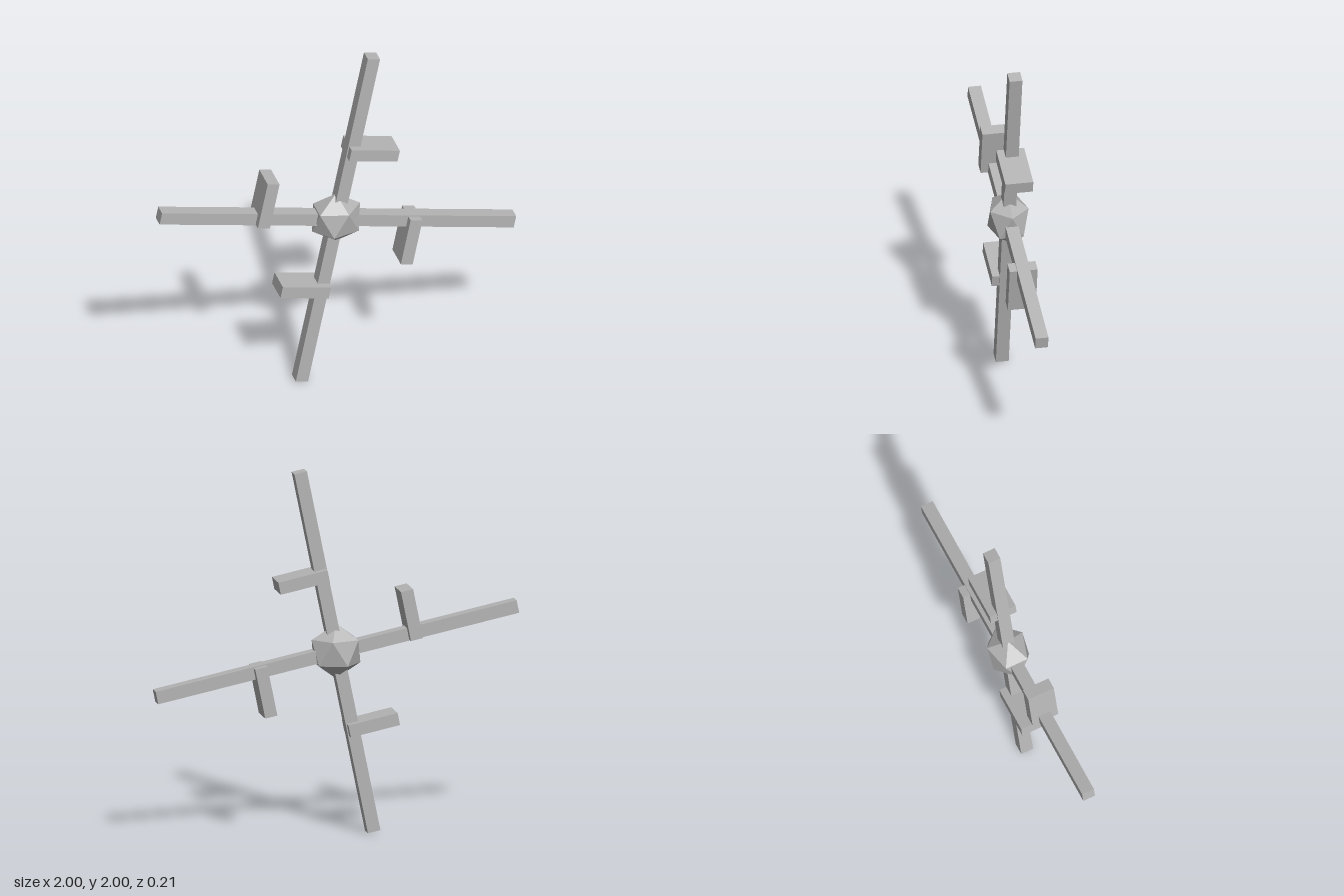
import * as THREE from 'three';

export function createModel() {
  const model = new THREE.Group();
  model.name = 'windmillRotor';
  const grey = new THREE.MeshStandardMaterial({ color: 0xb4b4b4 });
  grey.name = 'plain grey';
  grey.flatShading = true;

  const CENTRE_Y = 1, TILT = THREE.MathUtils.degToRad(-11.5);
  const ARM_LENGTH = 1.013, ARM_WIDTH = 0.07;

  function addBox(parent, name, size, position) {
    const mesh = new THREE.Mesh(new THREE.BoxGeometry(...size), grey);
    mesh.name = name;
    mesh.position.set(...position);
    parent.add(mesh);
  }

  // Faceted hub, one vertex pointing straight up, slightly flattened front to back
  const hubGeometry = new THREE.IcosahedronGeometry(0.15, 0);
  hubGeometry.rotateZ(-Math.atan(2 / (1 + Math.sqrt(5))));
  hubGeometry.scale(1, 1, 0.82);
  const hub = new THREE.Mesh(hubGeometry, grey);
  hub.name = 'hub';
  hub.position.y = CENTRE_Y;
  model.add(hub);

  // Four identical arms, each with a wide paddle set off to one side
  for (let i = 0; i < 4; i++) {
    const arm = new THREE.Group();
    arm.name = 'arm' + (i + 1);
    arm.position.y = CENTRE_Y;
    arm.rotation.z = TILT + i * Math.PI / 2;
    addBox(arm, 'armBeam', [ARM_WIDTH, ARM_LENGTH, ARM_WIDTH], [0, ARM_LENGTH / 2, 0]);
    addBox(arm, 'paddle', [0.276, 0.068, 0.152], [0.109, 0.431, 0]);
    model.add(arm);
  }
  return model;
}
